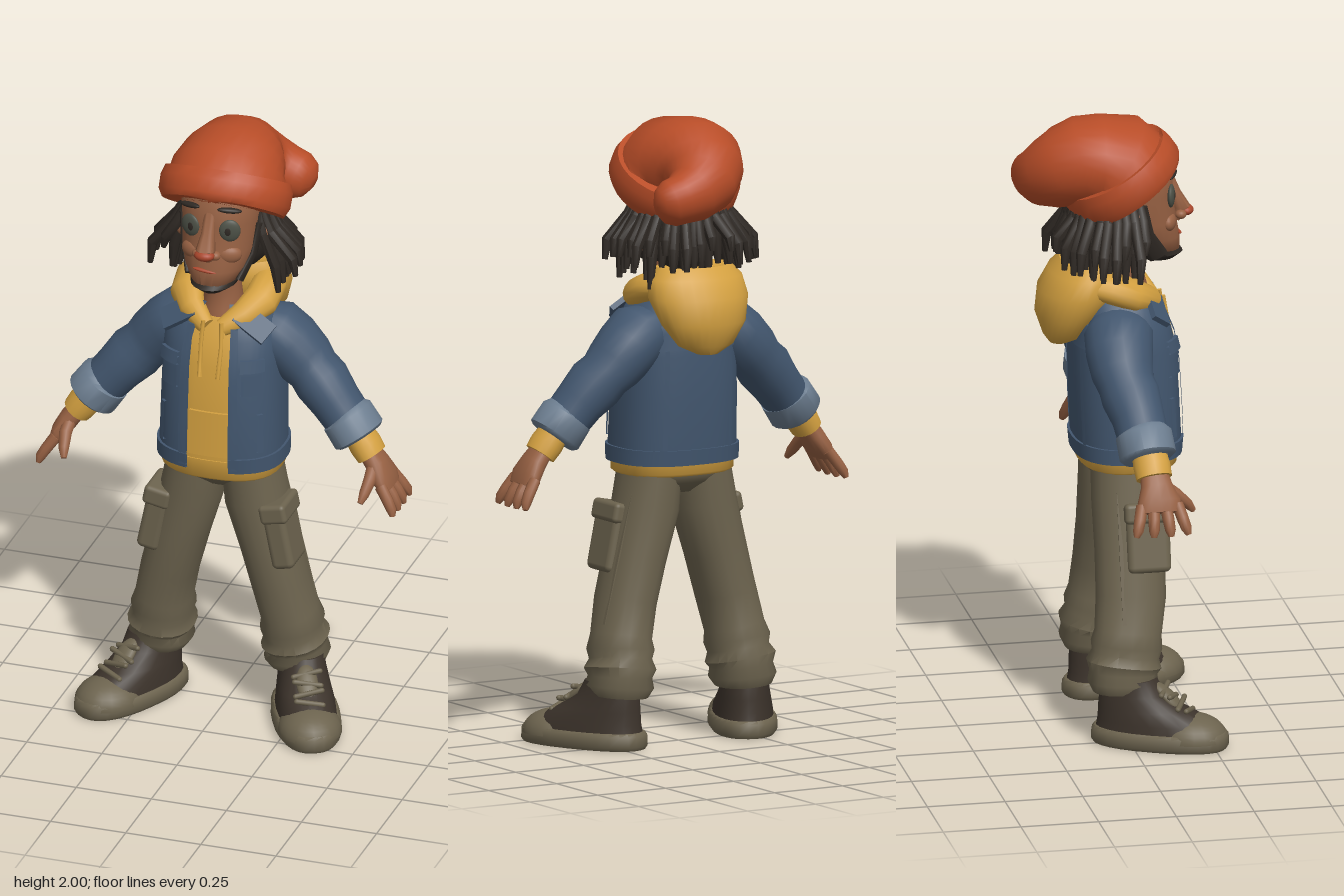
import * as THREE from 'three';
import { toCreasedNormals } from 'three/addons/utils/BufferGeometryUtils.js';
import { RoundedBoxGeometry } from 'three/addons/geometries/RoundedBoxGeometry.js';

const mat = (name, color, side = THREE.FrontSide) => {
  const m = new THREE.MeshStandardMaterial({ color, side });
  m.name = name;
  return m;
};
const V = (x, y, z) => new THREE.Vector3(x, y, z);
const DEG = Math.PI / 180;

// Skin through elliptical sections [x, y, z, ra, rb]; rings follow the path, or stay level when flat
function loft(sections, { n = 20, p = 2, flat = false, from = 0, to = 360, caps = true, crease = 0.9 } = {}) {
  const pos = [], idx = [], c = sections.map(s => V(s[0], s[1], s[2])), last = c.length - 1;
  const sp = v => Math.sign(v) * Math.pow(Math.abs(v), 2 / p);
  let b = V(0, 0, 1);
  sections.forEach((s, i) => {
    const t = flat ? V(0, 1, 0) : c[Math.min(i + 1, last)].clone().sub(c[Math.max(i - 1, 0)]).normalize();
    b = b.clone().addScaledVector(t, -t.dot(b)).normalize();
    const a = t.clone().cross(b);
    for (let j = 0; j <= n; j++) {
      const th = (from + (to - from) * j / n) * DEG;
      const q = c[i].clone().addScaledVector(a, sp(Math.cos(th)) * s[3]).addScaledVector(b, sp(Math.sin(th)) * s[4]);
      pos.push(q.x, q.y, q.z);
    }
  });
  const w = n + 1;
  for (let i = 0; i < last; i++) for (let j = 0; j < n; j++) {
    const k = i * w + j;
    idx.push(k, k + w, k + 1, k + w, k + w + 1, k + 1);
  }
  if (caps) {
    const m = pos.length / 3;
    pos.push(...c[0].toArray(), ...c[last].toArray());
    for (let j = 0; j < n; j++) idx.push(m, j, j + 1, m + 1, last * w + j + 1, last * w + j);
  }
  const g = new THREE.BufferGeometry();
  g.setAttribute('position', new THREE.Float32BufferAttribute(pos, 3));
  g.setIndex(idx);
  return toCreasedNormals(g, crease);
}
// Level sections [y, z, rx, rz] centred on x = 0
const level = rows => rows.map(([y, z, rx, rz]) => [0, y, z, rx, rz]);

// Jacket profile, sampled at any height
const JACKET = [[0.90, 0.04, 0.2, 0.165], [0.95, 0.04, 0.2, 0.17], [1.1, 0.033, 0.197, 0.17], [1.25, 0.027, 0.193, 0.166],
  [1.34, 0.02, 0.188, 0.15], [1.4, 0.012, 0.16, 0.125], [1.44, 0.0, 0.11, 0.1]];
function jacketRing(y, off) {
  let i = 0;
  while (i < JACKET.length - 2 && y > JACKET[i + 1][0]) i++;
  const A = JACKET[i], B = JACKET[i + 1], k = (y - A[0]) / (B[0] - A[0]);
  const m = j => A[j] + (B[j] - A[j]) * k;
  return [0, y, m(1), m(2) + off, m(3) + off];
}
// Curved cloth panel lying on the jacket between two heights and two angles
function panel(y0, y1, from, to, off) {
  const rows = [jacketRing(y0, off - 0.01)];
  for (let i = 0; i <= 6; i++) rows.push(jacketRing(y0 + (y1 - y0) * i / 6, off));
  rows.push(jacketRing(y1, off - 0.01));
  return loft(rows, { n: Math.max(4, Math.round(Math.abs(to - from) / 9)), p: 2.5, flat: true, from, to, caps: false, crease: 0.6 });
}

export function createModel() {
  const root = new THREE.Group();
  root.name = 'character';
  const M = {
    hat: mat('rust knit', 0xb84d28), denim: mat('denim', 0x42566e, THREE.DoubleSide),
    cuff: mat('faded denim', 0x6b7c8e), yellow: mat('mustard cotton', 0xd3a040),
    skin: mat('skin', 0x976143), hair: mat('dark hair', 0x2f2924), khaki: mat('khaki', 0x6c634e),
    shoe: mat('dark leather', 0x3c332b), red: mat('lips and nose red', 0xa8462c), eye: mat('eye grey', 0x4c5046),
  };
  const add = (name, geo, m, pos = [0, 0, 0], rot = [0, 0, 0], scale = [1, 1, 1], parent = root) => {
    const mesh = new THREE.Mesh(geo, m);
    mesh.name = name;
    mesh.position.set(...pos);
    mesh.rotation.set(...rot);
    mesh.scale.set(...scale);
    parent.add(mesh);
  };
  const ball = new THREE.SphereGeometry(1, 20, 14);
  const dome = new THREE.SphereGeometry(1, 20, 9, 0, Math.PI * 2, 0, Math.PI / 2);
  const box = new THREE.BoxGeometry(1, 1, 1);
  let seed = 7;
  const rnd = () => (seed = (seed * 16807) % 2147483647) / 2147483647;

  // Head and neck
  add('neck', loft([[0, 1.36, 0.05, 0.07, 0.075], [0, 1.42, 0.045, 0.066, 0.068], [0, 1.48, 0.04, 0.057, 0.057], [0, 1.6, 0.06, 0.06, 0.07]], { flat: true }), M.skin);
  add('head', loft(level([[1.53, 0.145, 0.035, 0.045], [1.55, 0.13, 0.07, 0.083], [1.6, 0.1, 0.102, 0.112], [1.66, 0.078, 0.118, 0.122],
    [1.75, 0.06, 0.124, 0.128], [1.82, 0.05, 0.13, 0.14], [1.9, 0.03, 0.1, 0.11]]), { n: 28, p: 2.1, flat: true }), M.skin);
  add('beard', loft(level([[1.52, 0.145, 0.04, 0.05], [1.542, 0.132, 0.074, 0.091], [1.557, 0.117, 0.08, 0.095]]), { flat: true }), M.hair);
  add('hairMass', ball, M.hair, [0, 1.66, -0.03], [0, 0, 0], [0.145, 0.15, 0.115]);
  add('noseBridge', loft([[0, 1.8, 0.175, 0.018, 0.014], [0, 1.73, 0.196, 0.022, 0.022], [0, 1.685, 0.22, 0.032, 0.028], [0, 1.645, 0.2, 0.02, 0.015]]), M.skin);
  add('noseTip', ball, M.red, [0, 1.672, 0.233], [0, 0, 0], [0.033, 0.018, 0.026]);
  add('mouth', ball, M.red, [-0.008, 1.605, 0.207], [0.2, 0, -0.12], [0.04, 0.006, 0.008]);
  for (const s of [1, -1]) {
    add('ear', ball, M.skin, [s * 0.138, 1.68, 0.045], [0, s * 0.3, 0], [0.018, 0.042, 0.028]);
    add('nostril', ball, M.skin, [s * 0.03, 1.666, 0.212], [0, 0, 0], [0.017, 0.015, 0.018]);
    add('cheek', ball, M.skin, [s * 0.062, 1.655, 0.168], [0, s * 0.4, 0], [0.04, 0.03, 0.022]);
    add('eye', ball, M.eye, [s * 0.065, 1.742, 0.174], [0, s * 0.32, 0], [0.034, 0.038, 0.012]);
    add('pupil', ball, M.hair, [s * 0.063, 1.742, 0.184], [0, s * 0.32, 0], [0.012, 0.016, 0.004]);
    add('eyebrow', ball, M.hair, [s * 0.066, 1.815, 0.178], [0, s * 0.4, -s * 0.12], [0.04, 0.009, 0.012]);
    add('sideburn', loft([[s * 0.126, 1.73, 0.06, 0.012, 0.025], [s * 0.114, 1.63, 0.082, 0.01, 0.028], [s * 0.082, 1.55, 0.13, 0.012, 0.032]]), M.hair);
  }

  // Hat: tilted rolled brim, and a crown whose slouched tip folds to the left
  add('hatBrim', loft([[0, 1.765, 0.046, 0.17, 0.165], [0, 1.757, 0.05, 0.197, 0.19], [0, 1.78, 0.036, 0.212, 0.2], [0, 1.82, 0.012, 0.213, 0.197],
    [0, 1.845, -0.003, 0.204, 0.186], [0, 1.838, 0.001, 0.182, 0.168]], { n: 32, caps: false }), M.hat);
  add('hatCrown', loft([[0, 1.8, 0.025, 0.195, 0.18], [0, 1.845, -0.012, 0.188, 0.172], [0, 1.857, -0.05, 0.174, 0.143], [0.005, 1.854, -0.1, 0.162, 0.143],
    [0.015, 1.836, -0.15, 0.142, 0.131], [0.04, 1.81, -0.19, 0.118, 0.115], [0.085, 1.785, -0.218, 0.09, 0.096], [0.13, 1.772, -0.225, 0.074, 0.082],
    [0.165, 1.763, -0.222, 0.07, 0.078], [0.195, 1.755, -0.218, 0.052, 0.06], [0.212, 1.75, -0.214, 0.02, 0.025]], { n: 28 }), M.hat);

  // Dreadlocks round the sides and back, in two layers of uneven length
  for (let layer = 0; layer < 2; layer++) for (let i = 0; i < 21; i++) {
    const f = (64 + (230 * (i + layer * 0.5)) / 20.5 + rnd() * 5) * DEG, sx = Math.sin(f), cz = Math.cos(f);
    const r = 0.16 + layer * 0.05 + rnd() * 0.05, y = 1.465 + layer * 0.05 + rnd() * 0.08;
    const reach = r * 0.76;
    add('dreadlock', loft([
      [sx * 0.13, 1.76, cz * 0.12, 0.014, 0.014],
      [sx * (0.15 + layer * 0.015), 1.69, cz * 0.14, 0.019, 0.019],
      [sx * (r - 0.01), (1.67 + y) / 2, cz * reach - 0.01, 0.018, 0.018],
      [sx * r, y, cz * reach - 0.015, 0.009, 0.009]], { n: 7 }), M.hair);
  }

  // Hooded top
  add('hoodieBody', loft([0.9, 1, 1.1, 1.25, 1.34, 1.4].map(y => jacketRing(y, -0.013)), { n: 32, p: 2.5, flat: true }), M.yellow);
  add('hoodieHem', loft(level([[0.862, 0.04, 0.185, 0.148], [0.87, 0.04, 0.194, 0.156], [0.93, 0.04, 0.193, 0.157]]), { n: 32, p: 2.5, flat: true }), M.yellow);
  add('hoodiePocket', panel(0.95, 1.1, 75, 105, -0.004), M.yellow);
  add('hoodBack', loft(level([[1.262, -0.175, 0.035, 0.03], [1.29, -0.165, 0.095, 0.06], [1.36, -0.15, 0.145, 0.099], [1.44, -0.118, 0.17, 0.122],
    [1.5, -0.1, 0.162, 0.105], [1.535, -0.09, 0.13, 0.08], [1.52, -0.085, 0.09, 0.04]]), { n: 28, flat: true }), M.yellow);
  for (const s of [1, -1]) {
    add('hoodCollar', loft([[s * 0.1, 1.48, -0.1, 0.03, 0.05], [s * 0.128, 1.468, -0.03, 0.044, 0.057], [s * 0.123, 1.442, 0.04, 0.044, 0.057],
      [s * 0.085, 1.412, 0.1, 0.036, 0.045], [s * 0.025, 1.375, 0.14, 0.022, 0.028]], { n: 14 }), M.yellow);
    add('drawstring', loft([[s * 0.03, 1.4, 0.155, 0.007, 0.007], [s * 0.034, 1.32, 0.168, 0.007, 0.007], [s * 0.03, 1.22, 0.192, 0.008, 0.008]], { n: 8 }), M.yellow);
  }

  // Denim jacket, open at the front
  add('jacketBody', loft(JACKET.map(r => jacketRing(r[0], 0)), { n: 44, p: 2.5, flat: true, from: 105, to: 435, caps: false }), M.denim);
  add('jacketHem', panel(0.9, 0.95, 105, 435, 0.008), M.denim);
  add('backYoke', panel(1.27, 1.35, 215, 325, 0.006), M.denim);
  for (const s of [1, -1]) {
    const arc = (y0, y1, a, b, off) => s > 0 ? panel(y0, y1, a, b, off) : panel(y0, y1, 180 - b, 180 - a, off);
    add('frontPlacket', arc(0.91, 1.38, 67, 75, 0.008), M.denim);
    add('chestPocket', arc(1.17, 1.27, 40, 63, 0.009), M.denim);
    add('pocketFlap', arc(1.25, 1.29, 38, 65, 0.017), M.denim);
    add('sidePocket', arc(0.97, 1.1, 38, 45, 0.008), M.denim);
    add('backSeam', arc(0.95, 1.27, -62, -57, 0.006), M.denim);
    add('jacketCollar', box, M.denim, [s * 0.125, 1.395, 0.115], [-0.75, s * 0.35, -s * 0.45], [0.12, 0.075, 0.018]);
    // Sleeve with elbow folds, and turned cuff
    add('sleeve', loft([[s * 0.09, 1.355, -0.005, 0.06, 0.08], [s * 0.15, 1.32, -0.012, 0.1, 0.11], [s * 0.2, 1.278, -0.02, 0.1, 0.107], [s * 0.25, 1.227, -0.02, 0.094, 0.099],
      [s * 0.28, 1.197, -0.014, 0.084, 0.09], [s * 0.31, 1.168, -0.006, 0.09, 0.094], [s * 0.36, 1.112, 0.008, 0.08, 0.084], [s * 0.43, 1.03, 0.02, 0.074, 0.08]], { n: 20 }), M.denim);
    add('sleeveCuff', loft([[s * 0.397, 1.075, 0.016, 0.074, 0.078], [s * 0.402, 1.07, 0.017, 0.085, 0.09], [s * 0.443, 1.013, 0.022, 0.087, 0.091],
      [s * 0.449, 1.005, 0.023, 0.075, 0.08]], { n: 20 }), M.cuff);
    add('wristBand', loft([[s * 0.435, 1.03, 0.025, 0.045, 0.055], [s * 0.468, 0.985, 0.03, 0.052, 0.06], [s * 0.49, 0.954, 0.033, 0.048, 0.058]], { n: 16 }), M.yellow);

    // Hand
    add('palm', loft([[s * 0.475, 0.975, 0.034, 0.03, 0.042], [s * 0.51, 0.93, 0.037, 0.033, 0.052], [s * 0.535, 0.89, 0.04, 0.031, 0.07], [s * 0.553, 0.858, 0.04, 0.021, 0.065]], { n: 16, p: 2.4 }), M.skin);
    for (let i = 0; i < 4; i++) {
      const k = i - 1.5, z = 0.04 + k * 0.038, mid = 1 - Math.abs(k) * 0.25;
      add('finger', loft([[s * 0.54, 0.88, z, 0.019, 0.019], [s * 0.568, 0.84, z + k * 0.008, 0.018, 0.019],
        [s * 0.585, 0.818 - mid * 0.01, z + k * 0.014, 0.016, 0.017], [s * 0.59, 0.802 - mid * 0.014, z + k * 0.018, 0.008, 0.009]], { n: 10 }), M.skin);
    }
    add('thumb', loft([[s * 0.505, 0.935, 0.055, 0.022, 0.022], [s * 0.507, 0.9, 0.102, 0.021, 0.02], [s * 0.5, 0.865, 0.138, 0.017, 0.017], [s * 0.493, 0.84, 0.158, 0.009, 0.009]], { n: 10 }), M.skin);

    // Trouser leg with bunched hem, and cargo pocket
    add('trouserLeg', loft([[s * 0.088, 0.89, 0.03, 0.09, 0.12], [s * 0.105, 0.76, 0.028, 0.1, 0.118], [s * 0.147, 0.6, 0.024, 0.092, 0.112], [s * 0.184, 0.46, 0.02, 0.09, 0.112],
      [s * 0.208, 0.35, 0.006, 0.09, 0.107], [s * 0.214, 0.31, 0, 0.101, 0.114], [s * 0.216, 0.28, -0.004, 0.092, 0.108], [s * 0.221, 0.25, -0.01, 0.108, 0.12],
      [s * 0.223, 0.225, -0.012, 0.095, 0.108], [s * 0.226, 0.195, -0.014, 0.104, 0.112], [s * 0.228, 0.165, -0.014, 0.087, 0.096]], { n: 20, p: 2.2 }), M.khaki);
    add('cargoPocket', new RoundedBoxGeometry(0.075, 0.215, 0.14, 3, 0.02), M.khaki, [s * 0.207, 0.655, 0.068], [0, 0, s * 0.2]);
    add('cargoFlap', new RoundedBoxGeometry(0.09, 0.065, 0.15, 3, 0.015), M.khaki, [s * 0.193, 0.738, 0.068], [0, 0, s * 0.2]);
    add('trouserSeam', box, M.khaki, [s * 0.232, 0.6, -0.02], [0, 0, s * 0.24], [0.012, 0.42, 0.012]);

    // Shoe, toe turned outward
    const shoe = new THREE.Group();
    shoe.name = 'shoe';
    shoe.position.set(s * 0.291, 0, 0.092);
    shoe.rotation.y = s * 0.45;
    root.add(shoe);
    const part = (name, geo, m, pos, rot, scale) => add(name, geo, m, pos, rot, scale, shoe);
    part('sole', loft(level([[0, 0, 0.098, 0.214], [0.012, 0, 0.107, 0.222], [0.045, 0, 0.106, 0.22], [0.055, 0, 0.098, 0.212]]), { n: 28, p: 2.4, flat: true }), M.khaki);
    part('upper', loft(level([[0.04, -0.005, 0.096, 0.205], [0.08, -0.012, 0.092, 0.19], [0.12, -0.055, 0.083, 0.145], [0.165, -0.09, 0.074, 0.105],
      [0.215, -0.1, 0.07, 0.085]]), { n: 24, p: 2.2, flat: true }), M.shoe);
    part('toeCap', dome, M.khaki, [0, 0.03, 0.1], [0, 0, 0], [0.102, 0.078, 0.118]);
    part('tongue', ball, M.khaki, [0, 0.155, 0.03], [-0.8, 0, 0], [0.035, 0.065, 0.018]);
    for (let i = 0; i < 4; i++)
      part('lace', new THREE.CapsuleGeometry(0.009, 0.085, 4, 8), M.khaki, [0, 0.118 + i * 0.021, 0.096 - i * 0.027], [0, 0, Math.PI / 2 + (i % 2 ? 0.2 : -0.2)]);
  }

  // Trouser seat and waist
  add('trouserSeat', loft(level([[0.8, 0.03, 0.08, 0.07], [0.835, 0.03, 0.15, 0.112], [0.86, 0.032, 0.182, 0.13], [0.92, 0.036, 0.18, 0.135]]), { n: 28, p: 2.4, flat: true }), M.khaki);
  return root;
}
